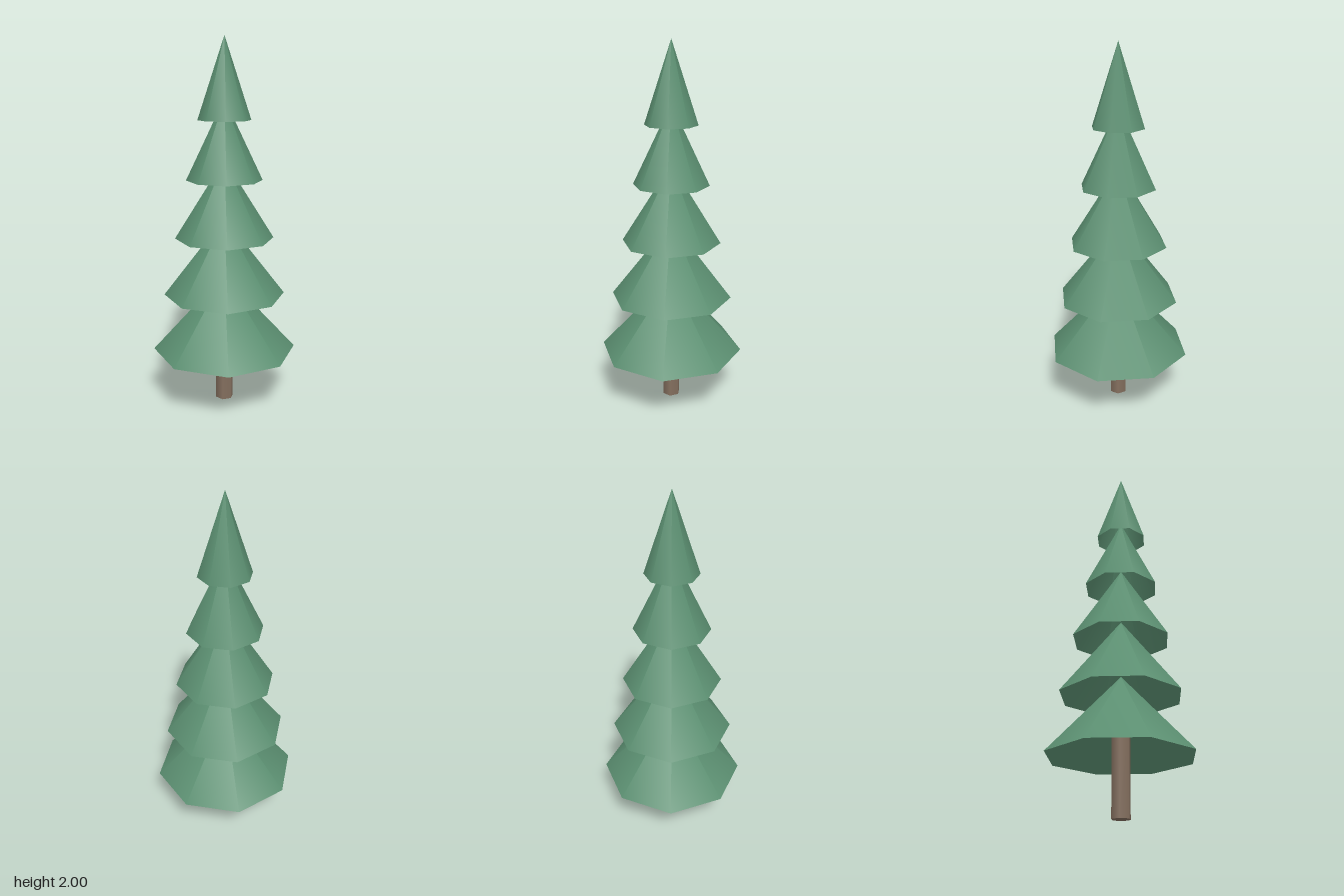
import * as THREE from 'three';

const needles = new THREE.MeshStandardMaterial({ color: 0x5b8f71, side: THREE.DoubleSide });
needles.name = 'needle green';
const bark = new THREE.MeshStandardMaterial({ color: 0x85705f });
bark.name = 'bark brown';

const TIERS = 5;
const TIER_HEIGHT = 0.43;

export function createModel() {
  const tree = new THREE.Group();
  tree.name = 'pineTree';

  // Six-sided trunk, with corners on the x axis, ending inside the lowest tier
  const trunkHeight = 0.48;
  const trunk = new THREE.Mesh(
    new THREE.CylinderGeometry(0.05, 0.05, trunkHeight, 6, 1, false, Math.PI / 6),
    bark
  );
  trunk.name = 'trunk';
  trunk.position.y = trunkHeight / 2;
  tree.add(trunk);

  // Hollow eight-sided cones, shrinking evenly towards the top
  for (let i = 0; i < TIERS; i++) {
    const t = i / (TIERS - 1);
    const radius = THREE.MathUtils.lerp(0.395, 0.142, t);
    const base = THREE.MathUtils.lerp(0.3, 1.57, t);
    const tier = new THREE.Mesh(
      new THREE.ConeGeometry(radius, TIER_HEIGHT, 8, 1, true),
      needles
    );
    tier.name = `branchTier${i + 1}`;
    tier.position.y = base + TIER_HEIGHT / 2;
    tree.add(tier);
  }

  return tree;
}
